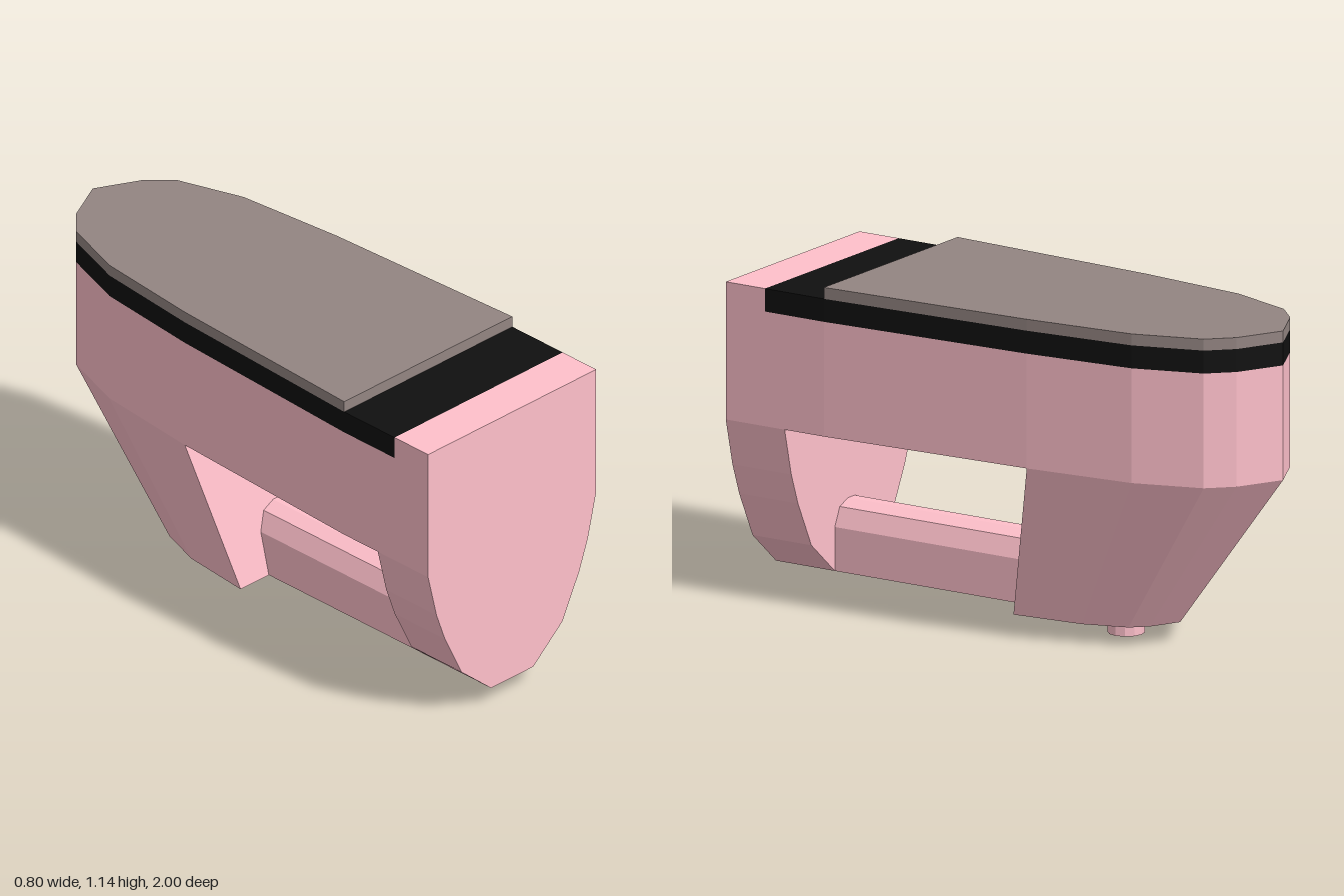
import * as THREE from 'three';

const pink = new THREE.MeshStandardMaterial({ color: 0xffc0cb, flatShading: true });
const black = new THREE.MeshStandardMaterial({ color: 0x101010, flatShading: true });
const grey = new THREE.MeshStandardMaterial({ color: 0x938582, flatShading: true });

// Half outline of the sole as [half width, z], running from wide end to pointed tip
const outline = [[0.36, -0.2], [0.32, -0.6], [0.24, -0.84], [0.16, -0.92], [0, -1]];

// Mirror a half profile [x, y] across x = 0 into a closed shape
function mirrored(half) {
  const other = half.filter(([x]) => x > 0).reverse().map(([x, y]) => [-x, y]);
  return new THREE.Shape([...half, ...other].map(([x, y]) => new THREE.Vector2(x, y)));
}

// Extrude a mirrored half profile along z
function profileZ(half, z0, z1) {
  return new THREE.ExtrudeGeometry(mirrored(half), { depth: z1 - z0, bevelEnabled: false })
    .translate(0, 0, z0);
}

// Extrude a plan outline [x, z] upwards
function slab(half, y0, y1) {
  return new THREE.ExtrudeGeometry(mirrored(half.map(([x, z]) => [x, -z])),
    { depth: y1 - y0, bevelEnabled: false }).rotateX(-Math.PI / 2).translate(0, y0, 0);
}

// Plan outline whose straight end is at zFront
function plan(zFront) {
  const start = zFront > 0.6 ? [[0.4, zFront], [0.4, 0.6]] : [[0.4, zFront]];
  return [...start, ...outline];
}

export function createModel() {
  const group = new THREE.Group();
  const add = (name, geometry, material) => {
    const mesh = new THREE.Mesh(geometry, material);
    mesh.name = name;
    group.add(mesh);
    return mesh;
  };

  const bottom = 0.067, mid = 0.625, deck = 1.025, rim = 1.105, top = 1.145;

  // Main body with the raised block at its straight end
  add('upperBody', slab(plan(1), mid, deck), pink);
  add('endBlock', new THREE.BoxGeometry(0.8, rim - deck, 0.16)
    .translate(0, (rim + deck) / 2, 0.92), pink);

  // Dark layer and sole plate
  add('heatLayer', slab(plan(0.84), deck, rim), black);
  add('solePlate', slab(plan(0.6), rim, top), grey);

  // Rounded end wall
  add('endWall', profileZ(
    [[0.1, bottom], [0.24, 0.187], [0.32, 0.35], [0.36, 0.46], [0.4, mid]], 0.76, 1), pink);

  // Handle bar
  add('handleBar', profileZ(
    [[0.1, bottom], [0.1, 0.22], [0.07, 0.285], [0.02, 0.305]], -0.2, 0.76), pink);

  // Pointed support, its lower outline shrunk and shifted
  const support = slab(outline, bottom, mid);
  const pos = support.attributes.position;
  for (let i = 0; i < pos.count; i++) {
    if (pos.getY(i) < 0.3) {
      pos.setX(i, pos.getX(i) * 0.65);
      pos.setZ(i, pos.getZ(i) * 0.65 + 0.07);
    }
  }
  support.computeVertexNormals();
  add('taperedSupport', support, pink);

  // Small peg underneath
  add('peg', new THREE.CylinderGeometry(0.063, 0.063, bottom, 12)
    .translate(0, bottom / 2, -0.36), pink);

  return group;
}
